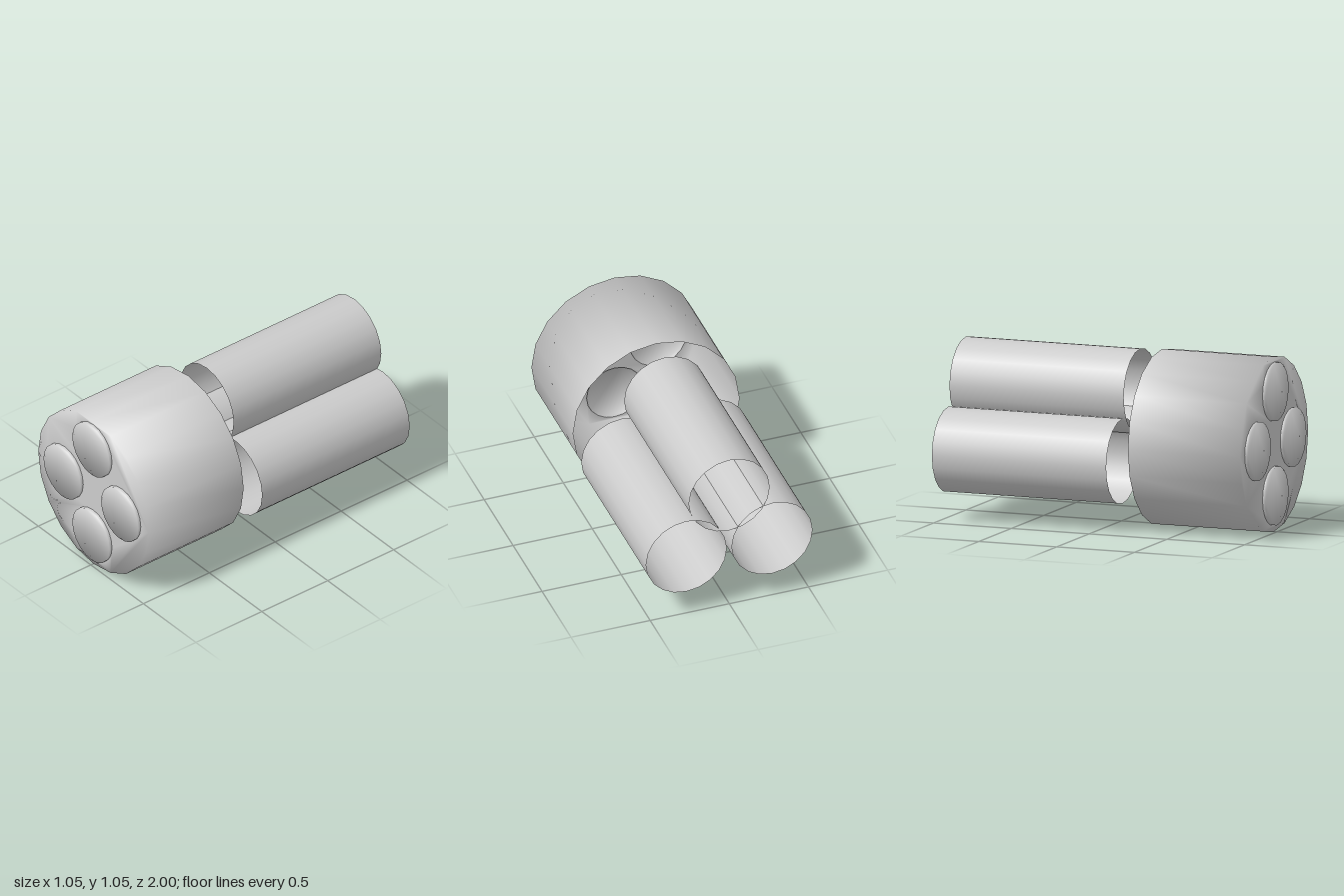
import * as THREE from 'three';
import { mergeGeometries } from 'three/addons/utils/BufferGeometryUtils.js';

const SIDES = 20;
const material = new THREE.MeshStandardMaterial({ color: 0xcccccc, side: THREE.DoubleSide });

// Corner points of a regular polygon
function ring(r, cx = 0, cy = 0) {
  return Array.from({ length: SIDES }, (_, i) => {
    const a = (i / SIDES) * Math.PI * 2;
    return new THREE.Vector2(cx + r * Math.cos(a), cy + r * Math.sin(a));
  });
}

// Open tube along z
function tubeGeometry(r, back, front) {
  return new THREE.CylinderGeometry(r, r, front - back, SIDES, 1, true)
    .rotateX(Math.PI / 2)
    .translate(0, 0, (front + back) / 2);
}

// Tube closed at the front by a flat face, shaded softly over the rim
function cupGeometry(r, back, front, holes = []) {
  const shape = new THREE.Shape(ring(r));
  holes.forEach(([x, y, hr]) => shape.holes.push(new THREE.Path(ring(hr, x, y).reverse())));
  const face = new THREE.ShapeGeometry(shape).translate(0, 0, front);
  const geometry = mergeGeometries([tubeGeometry(r, back, front), face]);
  const pos = geometry.attributes.position, normal = geometry.attributes.normal;
  const n = new THREE.Vector3();
  for (let i = 0; i < pos.count; i++) {
    const x = pos.getX(i), y = pos.getY(i);
    const onRim = Math.abs(Math.hypot(x, y) - r) < 1e-4;
    const onFront = Math.abs(pos.getZ(i) - front) < 1e-4;
    n.set(onRim ? x / r : 0, onRim ? y / r : 0, onFront ? 1 : 0).normalize();
    normal.setXYZ(i, n.x, n.y, n.z);
  }
  return geometry;
}

export function createModel() {
  const group = new THREE.Group();
  const add = (name, geometry, x, y) => {
    const mesh = new THREE.Mesh(geometry, material);
    mesh.name = name;
    mesh.position.set(x, y, 0);
    group.add(mesh);
  };

  // Front housing, open at the back, with four round openings
  const centreY = 0.527, lensR = 0.177;
  const lenses = [
    ['topLens', 0, 0.316], ['bottomLens', 0, -0.31],
    ['leftLens', 0.274, 0], ['rightLens', -0.274, 0],
  ];
  add('housing', cupGeometry(0.526, 0.26, 0.98, lenses.map(([, x, y]) => [x, y, lensR])), 0, centreY);

  // Shallow raised lenses filling the openings
  const lens = cupGeometry(lensR, 0.98, 1);
  lenses.forEach(([name, x, y]) => add(name, lens, x, centreY + y));

  // Three open tubes behind the housing
  const tube = tubeGeometry(0.255, -1, 0.12);
  add('topTube', tube, 0, 0.79);
  add('leftTube', tube, 0.271, 0.411);
  add('rightTube', tube, -0.271, 0.411);

  return group;
}
